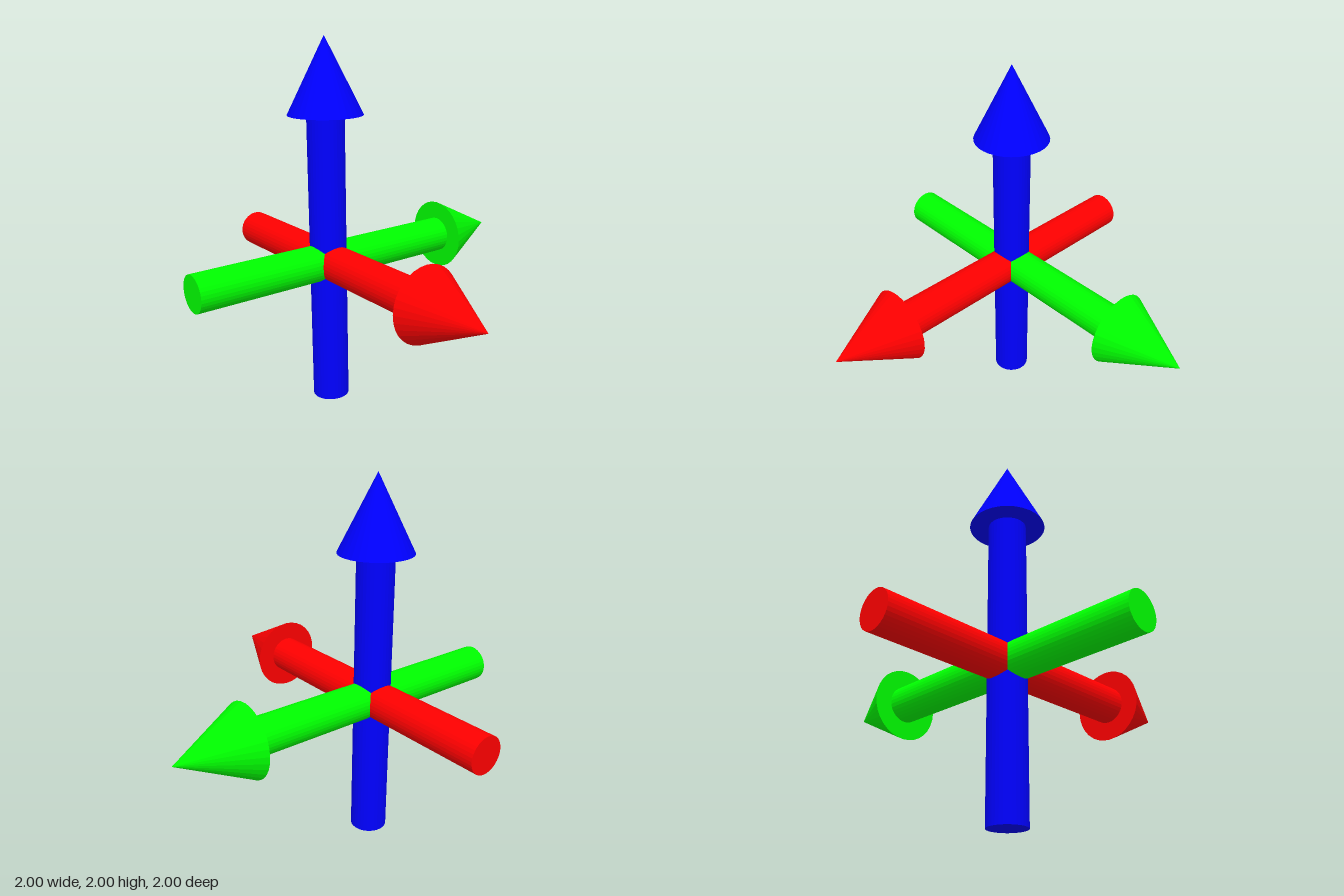
import * as THREE from 'three';

const SIDES = 32;

// One arrow along +y: its shaft starts 0.8 below the crossing point, its tip is 1.2 above.
function makeArrow(name, color) {
  const material = new THREE.MeshStandardMaterial({ color, flatShading: true });
  const arrow = new THREE.Group();
  arrow.name = name;

  const shaft = new THREE.Mesh(new THREE.CylinderGeometry(0.1, 0.1, 1.6, SIDES), material);
  shaft.name = name + 'Shaft';

  const head = new THREE.Mesh(new THREE.ConeGeometry(0.2, 0.4, SIDES), material);
  head.name = name + 'Head';
  head.position.y = 1;

  arrow.add(shaft, head);
  return arrow;
}

export function createModel() {
  const model = new THREE.Group();
  model.name = 'axisArrows';

  // Three arrows crossing at one point
  const upArrow = makeArrow('upArrow', 0x0000ff);
  const sideArrow = makeArrow('sideArrow', 0xff0000);
  sideArrow.rotation.z = -Math.PI / 2; // points to +x
  const backArrow = makeArrow('backArrow', 0x00ff00);
  backArrow.rotation.x = -Math.PI / 2; // points to -z

  for (const arrow of [upArrow, sideArrow, backArrow]) {
    arrow.position.set(-0.2, 0.8, 0.2);
    model.add(arrow);
  }
  return model;
}
